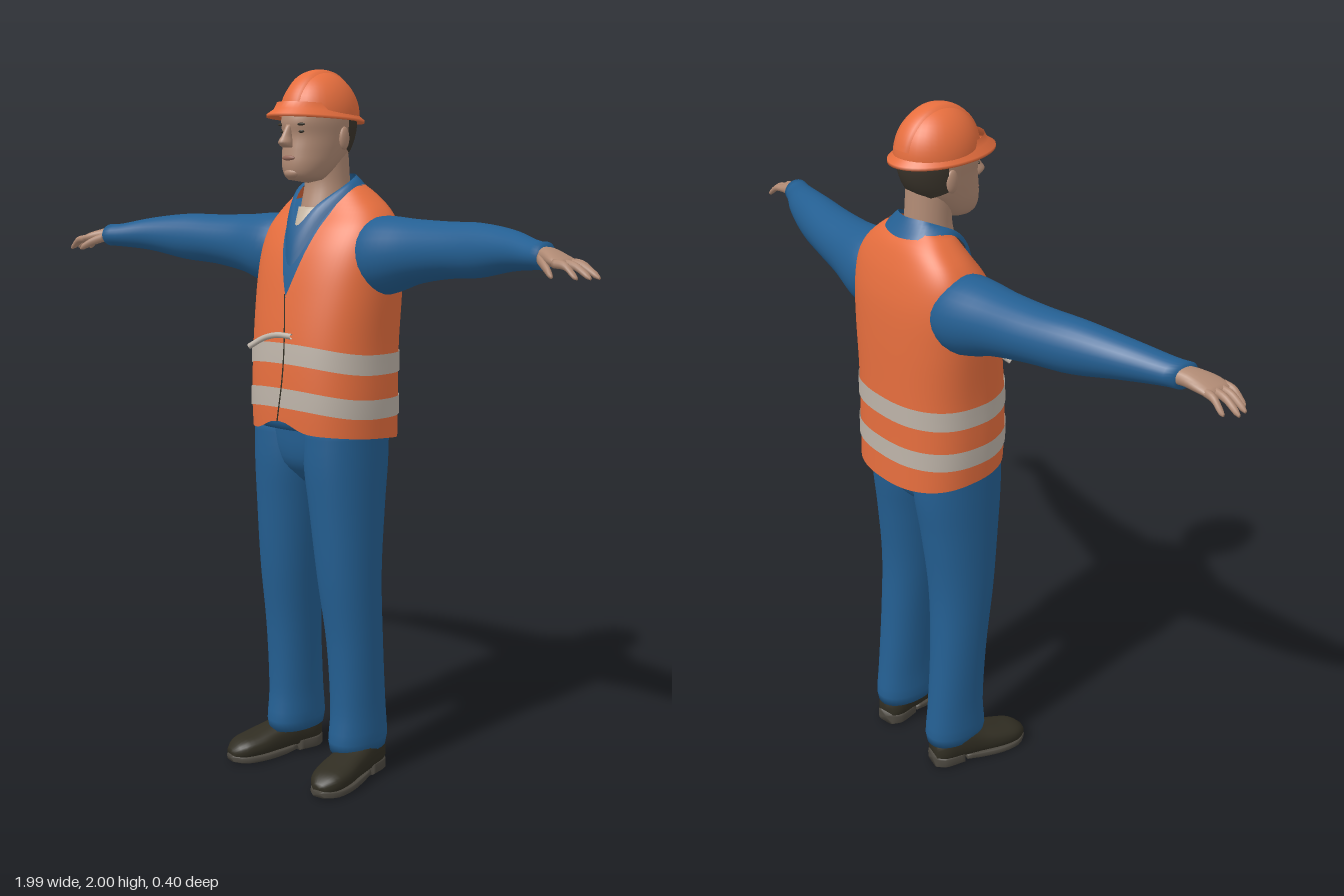
import * as THREE from 'three';
import { mergeVertices } from 'three/addons/utils/BufferGeometryUtils.js';

const mat = (name, color, side = THREE.FrontSide) => {
  const m = new THREE.MeshStandardMaterial({ color, side });
  m.name = name;
  return m;
};
const orange = mat('safety orange', 0xe66e3e, THREE.DoubleSide);
const blue = mat('work blue', 0x245f92, THREE.DoubleSide);
const skin = mat('skin', 0xb08a74);
const hair = mat('dark hair', 0x3a342b, THREE.DoubleSide);
const leather = mat('boot leather', 0x302d22);
const rubber = mat('sole rubber', 0x4b473f);
const silver = mat('reflective silver', 0xbdb3a8, THREE.DoubleSide);
const cotton = mat('undershirt cotton', 0xc8b8a4);
const lip = mat('lip', 0x95685a);

const TAU = Math.PI * 2;
const V3 = (x, y, z) => new THREE.Vector3(x, y, z);
const spow = (v, e) => Math.sign(v) * Math.abs(v) ** e;

// Smooth interpolation of rows keyed by their first number
function sample(rows, k) {
  const n = rows.length - 1;
  k = Math.min(Math.max(k, rows[0][0]), rows[n][0]);
  let i = 0;
  while (i < n - 1 && k > rows[i + 1][0]) i++;
  const a = rows[i], b = rows[i + 1], d = b[0] - a[0], t = (k - a[0]) / d;
  const p = rows[Math.max(i - 1, 0)], q = rows[Math.min(i + 2, n)];
  return a.map((v, c) => {
    const m0 = (b[c] - p[c]) / (b[0] - p[0]) * d, m1 = (q[c] - a[c]) / (q[0] - a[0]) * d;
    const t2 = t * t, t3 = t2 * t;
    return (2 * t3 - 3 * t2 + 1) * v + (t3 - 2 * t2 + t) * m0 + (3 * t2 - 2 * t3) * b[c] + (t3 - t2) * m1;
  });
}

// Surface from a rule fn(u, v) -> point, facing along du x dv
function grid(fn, nu, nv) {
  const pos = [], idx = [], w = nu + 1;
  for (let j = 0; j <= nv; j++)
    for (let i = 0; i <= nu; i++) pos.push(...fn(i / nu, j / nv).toArray());
  for (let j = 0; j < nv; j++)
    for (let i = 0; i < nu; i++) {
      const a = j * w + i;
      idx.push(a, a + 1, a + w + 1, a, a + w + 1, a + w);
    }
  let g = new THREE.BufferGeometry();
  g.setAttribute('position', new THREE.Float32BufferAttribute(pos, 3));
  g.setIndex(idx);
  g = mergeVertices(g, 1e-5);
  g.computeVertexNormals();
  return g;
}

// Closed loft along an axis; rows are [key, centreA, centreB, radiusA, radiusB]
function loft(axis, rows, nu = 24, nv = 20, p = 2) {
  const k0 = rows[0][0], k1 = rows[rows.length - 1][0], e = 2 / p;
  return grid((u, v) => {
    const j = Math.round(v * (nv + 2)) - 1, end = j < 0 || j > nv ? 0 : 1;
    const k = k0 + (k1 - k0) * Math.min(Math.max(j / nv, 0), 1);
    const [, ca, cb, ra, rb] = sample(rows, k);
    const s = spow(Math.sin(u * TAU), e) * end, c = spow(Math.cos(u * TAU), e) * end;
    if (axis === 'y') return V3(ca + ra * s, k, cb + rb * c);
    if (axis === 'x') return V3(k, ca + ra * c, cb + rb * s);
    return V3(ca - ra * s, cb + rb * c, k);
  }, nu, nv + 2);
}

// Body outline point; rows are [y, halfWidth, frontZ, backZ]
function outline(rows, p, a, y, off = 0) {
  const [, hw, zf, zb] = sample(rows, y), zc = zb + 0.45 * (zf - zb);
  const s = spow(Math.sin(a), 2 / p), c = spow(Math.cos(a), 2 / p);
  return V3((hw + off) * s, y, zc + ((c > 0 ? zf - zc : zc - zb) + off) * c);
}

function mirrored(g) {
  const m = g.clone().scale(-1, 1, 1), ix = m.index.array;
  for (let i = 0; i < ix.length; i += 3) [ix[i], ix[i + 1]] = [ix[i + 1], ix[i]];
  m.computeVertexNormals();
  return m;
}
const ball = (x, y, z, rx, ry, rz) => new THREE.SphereGeometry(1, 16, 12).scale(rx, ry, rz).translate(x, y, z);

const TORSO = [
  [0.97, 0.206, 0.155, -0.2], [1.1, 0.211, 0.158, -0.197], [1.25, 0.212, 0.15, -0.196],
  [1.4, 0.221, 0.126, -0.195], [1.5, 0.223, 0.1, -0.19], [1.57, 0.212, 0.068, -0.178],
  [1.62, 0.182, 0.033, -0.163], [1.66, 0.138, 0.01, -0.145], [1.69, 0.1, -0.005, -0.12]];
const HEAD = [
  [1.695, 0.03, 0.085, 0.02], [1.71, 0.05, 0.107, -0.005], [1.74, 0.065, 0.117, -0.045],
  [1.78, 0.074, 0.115, -0.085], [1.82, 0.079, 0.111, -0.105], [1.86, 0.082, 0.117, -0.112], [1.92, 0.078, 0.1, -0.105]];
const torso = (a, y, off) => outline(TORSO, 2.4, a, y, off);
const head = (a, y, off) => outline(HEAD, 2.15, a, y, off);

export function createModel() {
  const model = new THREE.Group();
  const add = (name, g, m, parent = model) => {
    const mesh = new THREE.Mesh(g, m);
    mesh.name = name;
    parent.add(mesh);
    return mesh;
  };
  const pair = (name, g, m) => {
    add('left ' + name, g, m);
    add('right ' + name, mirrored(g), m);
  };

  // Boots, turned slightly outward
  const place = g => g.rotateY(0.2).translate(0.147, 0, 0);
  pair('boot', place(loft('z', [[-0.118, 0, 0.05, 0.03, 0.03], [-0.095, 0, 0.06, 0.048, 0.045], [-0.03, 0, 0.066, 0.052, 0.054],
    [0.03, 0, 0.054, 0.052, 0.043], [0.1, 0, 0.044, 0.056, 0.034], [0.16, 0, 0.037, 0.045, 0.026], [0.187, 0, 0.03, 0.02, 0.014]], 24, 20, 2.5)), leather);
  pair('boot sole', place(loft('z', [[-0.02, 0, 0.016, 0.045, 0.009], [0.03, 0, 0.011, 0.05, 0.011], [0.1, 0, 0.011, 0.057, 0.011],
    [0.16, 0, 0.012, 0.046, 0.011], [0.188, 0, 0.015, 0.02, 0.01]], 24, 12, 5)), rubber);
  pair('boot heel', place(loft('z', [[-0.12, 0, 0.02, 0.03, 0.02], [-0.095, 0, 0.02, 0.048, 0.02], [-0.03, 0, 0.02, 0.048, 0.02]], 24, 8, 5)), rubber);

  // Trousers
  pair('trouser leg', loft('y', [[0.08, 0.128, -0.034, 0.061, 0.094], [0.105, 0.128, -0.034, 0.066, 0.099], [0.2, 0.128, -0.034, 0.065, 0.09],
    [0.4, 0.125, -0.022, 0.071, 0.087], [0.6, 0.117, -0.007, 0.081, 0.098], [0.8, 0.107, -0.007, 0.092, 0.117],
    [0.92, 0.1, -0.01, 0.1, 0.13], [1.03, 0.1, -0.012, 0.1, 0.132]], 32, 32, 2.2), blue);
  add('trouser seat', loft('y', [[0.86, 0, -0.01, 0.04, 0.06], [0.92, 0, -0.012, 0.13, 0.115], [1.05, 0, -0.014, 0.19, 0.135]], 32, 10, 2.3), blue);

  // Jacket body and sleeves
  const nb = 30;
  add('jacket body', grid((u, v) => {
    const p = torso(u * TAU, 1.0 + 0.67 * v, -0.009);
    return v === 0 || v === 1 ? V3(0, p.y, -0.04) : p;
  }, 48, nb), blue);
  pair('sleeve', loft('x', [[0.12, 1.5, -0.06, 0.09, 0.09], [0.2, 1.5, -0.055, 0.108, 0.102], [0.33, 1.516, -0.046, 0.086, 0.085],
    [0.45, 1.525, -0.032, 0.074, 0.076], [0.57, 1.53, -0.01, 0.069, 0.066], [0.7, 1.535, 0.026, 0.05, 0.054],
    [0.8, 1.53, 0.068, 0.035, 0.043], [0.835, 1.53, 0.08, 0.034, 0.041]], 28, 30), blue);

  // Hands
  pair('palm', loft('x', [[0.81, 1.53, 0.07, 0.022, 0.028], [0.85, 1.53, 0.085, 0.021, 0.035],
    [0.89, 1.522, 0.1, 0.017, 0.043], [0.925, 1.514, 0.105, 0.011, 0.041]], 20, 10, 2.3), skin);
  [[0.972, 0.066], [0.996, 0.092], [0.99, 0.119], [0.968, 0.141]].forEach(([x, z], i) => {
    const z0 = 0.074 + 0.021 * i, xm = (0.9 + x) / 2;
    pair('finger ' + (i + 1), loft('x', [[0.9, 1.518, z0, 0.011, 0.011], [xm, 1.513, (z0 + z) / 2, 0.01, 0.01],
      [x - 0.008, 1.492, z, 0.008, 0.008], [x, 1.487, z, 0.004, 0.004]], 10, 9), skin);
  });
  pair('thumb', loft('x', [[0.835, 1.525, 0.105, 0.014, 0.012], [0.87, 1.51, 0.13, 0.013, 0.012], [0.9, 1.492, 0.149, 0.009, 0.008],
    [0.906, 1.488, 0.151, 0.004, 0.004]], 10, 9), skin);

  // Vest with a V neck cut into its front
  const neckAngle = y => {
    const open = 0.096 * Math.max(0, (y - 1.39) / 0.29) ** 0.9;
    return Math.asin(Math.min(1, (open / sample(TORSO, y)[1]) ** 1.2));
  };
  add('vest', grid((u, v) => {
    const c = Math.cos(u * TAU), hem = 0.98 + 0.018 * (1 + c) + 0.03 * Math.max(0, c) ** 30;
    const y = hem + (1.69 - hem) * v, a0 = neckAngle(y);
    return torso(a0 + (TAU - 2 * a0) * u, y, 0);
  }, 72, 56), orange);
  const band = (y0, h, off) => grid((u, v) => {
    const a = u * TAU;
    return torso(a, y0 + h * v + 0.03 * Math.max(0, Math.cos(a)) ** 2, off);
  }, 72, 3);
  add('upper reflective band', band(1.177, 0.056, 0.003), silver);
  add('lower reflective band', band(1.055, 0.054, 0.003), silver);
  add('vest front seam', grid((u, v) => {
    const y = 1.045 + 0.35 * v, p = torso(0, y, 0.005);
    return p.setX(0.022 * Math.sin(Math.PI * v) + (u - 0.5) * 0.005);
  }, 1, 16), leather);
  const strap = new THREE.CatmullRomCurve3([V3(0.045, 1.283, 0.15), V3(0.0, 1.285, 0.16), V3(-0.04, 1.275, 0.172), V3(-0.075, 1.25, 0.197)]);
  add('vest tie strap', new THREE.TubeGeometry(strap, 16, 0.008, 8), silver);

  // Neck, undershirt and collar
  add('neck', loft('y', [[1.55, 0, -0.01, 0.05, 0.07], [1.62, 0, -0.03, 0.068, 0.075], [1.7, 0, -0.035, 0.062, 0.064], [1.8, 0, -0.025, 0.06, 0.068]]), skin);
  add('undershirt', loft('y', [[1.5, 0, 0, 0.035, 0.09], [1.57, 0, -0.01, 0.06, 0.086], [1.63, 0, -0.03, 0.073, 0.08]]), cotton);
  const loop = half => new THREE.CatmullRomCurve3([...half, ...half.slice(1, -1).reverse().map(p => V3(-p.x, p.y, p.z))], true);
  const inner = loop([V3(0, 1.58, 0.085), V3(0.042, 1.635, 0.05), V3(0.078, 1.69, -0.025), V3(0.062, 1.717, -0.085), V3(0, 1.72, -0.108)]);
  const outer = loop([V3(0, 1.47, 0.113), V3(0.068, 1.595, 0.054), V3(0.105, 1.685, -0.04), V3(0.08, 1.68, -0.115), V3(0, 1.672, -0.138)]);
  add('jacket collar', grid((u, v) => {
    const p = outer.getPoint(u).lerp(inner.getPoint(u), v);
    return p.add(V3(0, 0.006, 0.004).multiplyScalar(Math.sin(Math.PI * v)));
  }, 48, 5), blue);

  // Head and face
  add('head', grid((u, v) => {
    const p = head(u * TAU, 1.695 + 0.225 * v);
    return v === 0 || v === 1 ? V3(0, p.y, 0.04) : p;
  }, 40, 26), skin);
  add('nose', loft('y', [[1.79, 0, 0.12, 0.016, 0.012], [1.802, 0, 0.126, 0.017, 0.023], [1.82, 0, 0.12, 0.011, 0.018],
    [1.85, 0, 0.112, 0.008, 0.008]], 16, 12), skin);
  add('chin', ball(0, 1.722, 0.098, 0.028, 0.016, 0.02), skin);
  add('lips', ball(0, 1.762, 0.115, 0.024, 0.007, 0.007), lip);
  pair('ear', ball(0.081, 1.815, -0.018, 0.009, 0.031, 0.018), skin);
  pair('eye', ball(0.032, 1.832, 0.1, 0.013, 0.0045, 0.006), hair);
  pair('eyebrow', ball(0.034, 1.851, 0.104, 0.019, 0.004, 0.006), hair);
  add('hair', grid((u, v) => {
    const a = Math.PI * (0.56 + 0.88 * u), low = 1.79 - 0.025 * Math.sin(Math.PI * u);
    return head(a, low + (1.89 - low) * v, 0.005);
  }, 24, 8), hair);

  // Hard hat: dome, brim with a front peak, and raised crown ridge
  const hat = new THREE.Group();
  hat.name = 'hard hat';
  model.add(hat);
  add('hat dome', new THREE.SphereGeometry(1, 36, 14, 0, TAU, 0, Math.PI / 2).scale(0.1, 0.123, 0.12).translate(0, 1.873, -0.005), orange, hat);
  const brim = [[0.72, -0.004], [1, -0.01], [1, -0.002], [0.86, 0.012], [0.8, 0.03]];
  add('hat brim', grid((u, v) => {
    const s = Math.sin(u * TAU), c = Math.cos(u * TAU), [r, h] = brim[Math.round(v * 4)];
    return V3(0.109 * r * s, 1.873 + h + 0.008 * c, (c > 0 ? 0.167 : 0.143) * r * c);
  }, 48, 4), orange, hat);
  add('hat ridge', grid((u, v) => {
    const x = 0.034 * (2 * u - 1), k = (u === 0 || u === 1 ? 0.98 : 1.035) * Math.sqrt(1 - (x / 0.1) ** 2);
    const f = Math.PI * (0.06 + 0.88 * v);
    return V3(x, 1.873 + 0.123 * k * Math.sin(f), -0.005 + 0.12 * k * Math.cos(f));
  }, 8, 28), orange, hat);

  return model;
}
